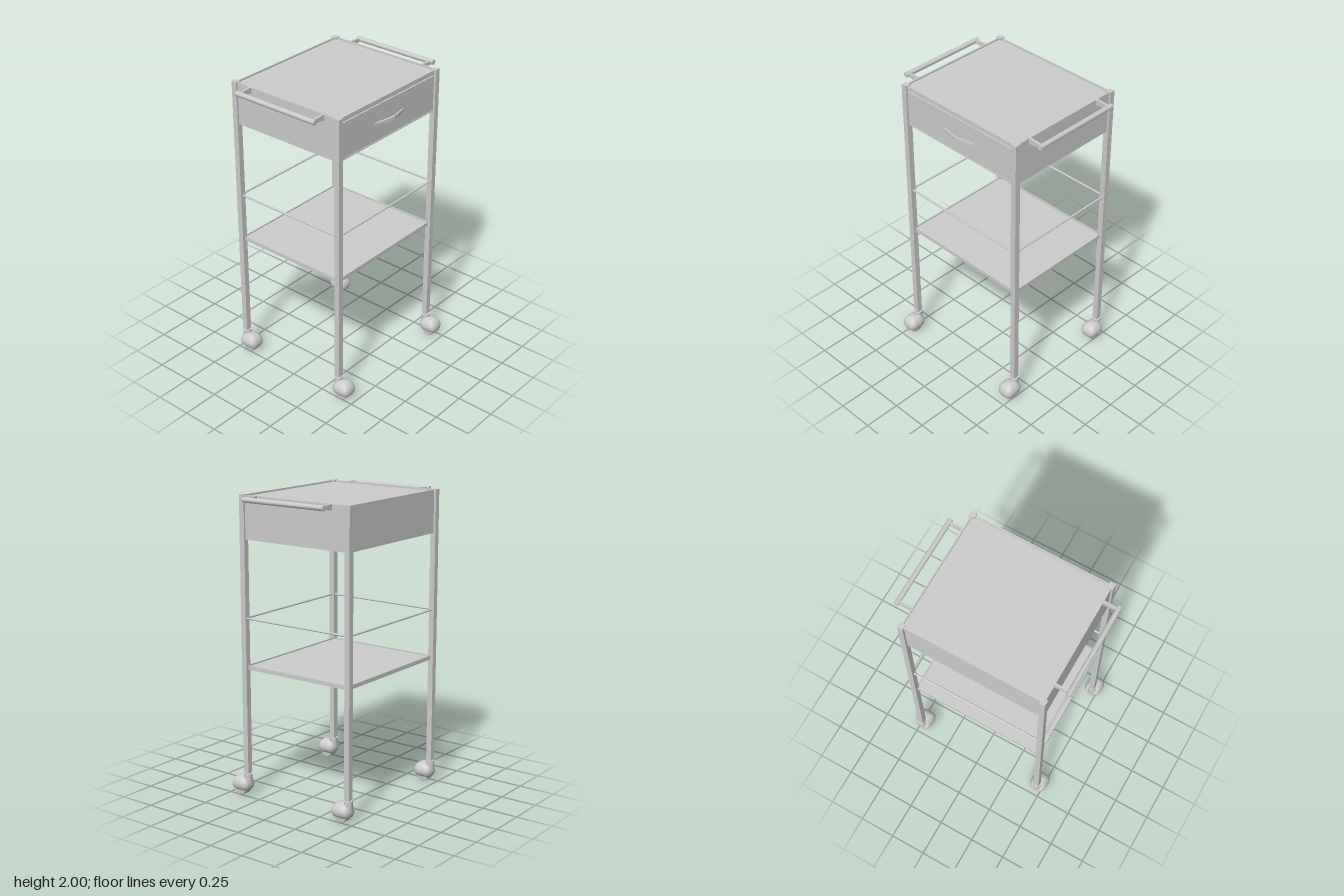
import * as THREE from 'three';

const mat = new THREE.MeshStandardMaterial({ color: 0xcccccc });
const matDouble = new THREE.MeshStandardMaterial({ color: 0xcccccc, side: THREE.DoubleSide });

const LEG_X = 0.47, LEG_FRONT = 0.37, LEG_BACK = -0.453;

function add(parent, name, geometry, material = mat) {
  const mesh = new THREE.Mesh(geometry, material);
  mesh.name = name;
  parent.add(mesh);
  return mesh;
}

// Box given by its limits on each axis
function box(parent, name, x0, x1, y0, y1, z0, z1) {
  const g = new THREE.BoxGeometry(x1 - x0, y1 - y0, z1 - z0);
  g.translate((x0 + x1) / 2, (y0 + y1) / 2, (z0 + z1) / 2);
  return add(parent, name, g);
}

// Upright cylinder between two heights
function post(parent, name, r, y0, y1, z = 0) {
  const g = new THREE.CylinderGeometry(r, r, y1 - y0, 20);
  return add(parent, name, g.translate(0, (y0 + y1) / 2, z));
}

// Round bar between two points
function bar(parent, name, a, b, r) {
  const path = new THREE.LineCurve3(new THREE.Vector3(...a), new THREE.Vector3(...b));
  return add(parent, name, new THREE.TubeGeometry(path, 1, r, 12));
}

// Caster hood: rounded-rectangle sections stacked upwards
function hoodGeometry() {
  const sections = [ // height, half width, half depth
    [0.035, 0.036, 0.052], [0.042, 0.046, 0.06], [0.055, 0.056, 0.065], [0.072, 0.06, 0.067],
    [0.09, 0.058, 0.065], [0.108, 0.05, 0.056], [0.122, 0.038, 0.043], [0.131, 0.024, 0.026], [0.133, 0.001, 0.001]];
  const n = 32, pos = [], index = [];
  const soft = (v) => Math.sign(v) * Math.pow(Math.abs(v), 0.62);
  sections.forEach(([y, w, d], j) => {
    for (let i = 0; i < n; i++) {
      const a = (i / n) * Math.PI * 2;
      pos.push(w * soft(Math.cos(a)), y, d * soft(Math.sin(a)));
      if (j === 0) continue;
      const k = (i + 1) % n, lo = (j - 1) * n, hi = j * n;
      index.push(lo + i, hi + i, lo + k, lo + k, hi + i, hi + k);
    }
  });
  const g = new THREE.BufferGeometry();
  g.setAttribute('position', new THREE.Float32BufferAttribute(pos, 3));
  g.setIndex(index);
  g.computeVertexNormals();
  return g;
}

function makeCaster(hood) {
  const caster = new THREE.Group();
  caster.name = 'caster';
  post(caster, 'pin', 0.017, 0.14, 0.17);
  post(caster, 'swivelNeck', 0.028, 0.08, 0.148);
  add(caster, 'hood', hood, matDouble).position.z = 0.042;
  // Wheel with bevelled rims, axle along x
  const profile = [[0, -0.034], [0.04, -0.034], [0.045, -0.028], [0.045, 0.028], [0.04, 0.034], [0, 0.034]]
    .map(([r, y]) => new THREE.Vector2(r, y));
  const wheel = new THREE.LatheGeometry(profile, 28).rotateZ(Math.PI / 2);
  add(caster, 'wheel', wheel).position.set(0, 0.045, 0.042);
  return caster;
}

// Bowed drawer pull, tapering in height towards its ends
function pullGeometry() {
  const top = [[-0.15, 0], [-0.03, 0.036], [0, 0.04], [0.03, 0.036], [0.15, 0]];
  const outer = top.map(([x, z]) => new THREE.Vector2(x, z));
  const inner = top.map(([x, z]) => new THREE.Vector2(x, z - 0.011)).reverse();
  const g = new THREE.ExtrudeGeometry(new THREE.Shape([...outer, ...inner]), { depth: 0.03, bevelEnabled: false });
  g.translate(0, 0, -0.015).rotateX(Math.PI / 2);
  const p = g.attributes.position;
  for (let i = 0; i < p.count; i++) p.setY(i, p.getY(i) * (1 - 0.75 * Math.abs(p.getX(i)) / 0.15));
  g.computeVertexNormals();
  return g;
}

function makeSideHandle() {
  const handle = new THREE.Group();
  handle.name = 'sideHandle';
  bar(handle, 'grip', [0.572, 1.983, -0.346], [0.572, 1.983, 0.281], 0.017);
  for (const z of [-0.346, 0.281]) {
    const cap = add(handle, 'gripEnd', new THREE.CircleGeometry(0.017, 12), matDouble);
    cap.position.set(0.572, 1.983, z);
  }
  // Tapered brackets
  const shape = new THREE.Shape([[0.474, 1.958], [0.565, 1.972], [0.565, 1.992], [0.474, 1.998]]
    .map(([x, y]) => new THREE.Vector2(x, y)));
  for (const z of [-0.333, 0.252]) {
    add(handle, 'bracket', new THREE.ExtrudeGeometry(shape, { depth: 0.016, bevelEnabled: false })).position.z = z;
  }
  return handle;
}

// Thin walls around a rectangle
function rim(parent, name, w, z0, z1, y0, y1, t) {
  for (const s of [-1, 1]) {
    const x = s * (w - t / 2);
    box(parent, name, x - t / 2, x + t / 2, y0, y1, z0, z1);
  }
  box(parent, name, -w + t, w - t, y0, y1, z0, z0 + t);
  box(parent, name, -w + t, w - t, y0, y1, z1 - t, z1);
}

export function createModel() {
  const cart = new THREE.Group();
  cart.name = 'trolley';

  // Legs and casters
  const hood = hoodGeometry();
  for (const x of [-LEG_X, LEG_X]) for (const z of [LEG_BACK, LEG_FRONT]) {
    box(cart, 'leg', x - 0.019, x + 0.019, 0.158, 2, z - 0.019, z + 0.019);
    const caster = makeCaster(hood);
    caster.position.set(x, 0, z);
    cart.add(caster);
  }

  // Drawer cabinet with a shallow rim round the top
  const cabinet = new THREE.Group();
  cabinet.name = 'cabinet';
  cart.add(cabinet);
  box(cabinet, 'carcass', -0.468, 0.468, 1.718, 1.986, -0.45, 0.369);
  for (const s of [-1, 1]) {
    box(cabinet, 'sidePanel', s * 0.472 - 0.005, s * 0.472 + 0.005, 1.715, 1.997, -0.457, 0.377);
  }
  box(cabinet, 'backPanel', -0.467, 0.467, 1.715, 1.997, -0.457, -0.447);
  box(cabinet, 'topRail', -0.467, 0.467, 1.968, 1.997, 0.367, 0.377);
  box(cabinet, 'bottomRail', -0.467, 0.467, 1.715, 1.723, 0.36, 0.377);
  box(cabinet, 'drawerFront', -0.446, 0.446, 1.728, 1.962, 0.365, 0.379);
  add(cabinet, 'drawerPull', pullGeometry()).position.set(0, 1.845, 0.379);

  // Side handles
  const left = makeSideHandle();
  const right = makeSideHandle();
  right.rotation.y = Math.PI;
  right.position.z = -0.065;
  cart.add(left, right);

  // Lower shelf tray
  const shelf = new THREE.Group();
  shelf.name = 'shelf';
  cart.add(shelf);
  box(shelf, 'shelfFloor', -0.466, 0.466, 0.864, 0.881, -0.449, 0.366);
  rim(shelf, 'shelfRim', 0.468, -0.451, 0.368, 0.863, 0.89, 0.008);

  // Guard rails
  const y = 1.203, r = 0.007;
  for (const z of [LEG_BACK, LEG_FRONT]) bar(cart, 'guardRail', [-LEG_X, y, z], [LEG_X, y, z], r);
  for (const x of [-LEG_X, LEG_X]) bar(cart, 'guardRail', [x, y, LEG_BACK], [x, y, LEG_FRONT], r);

  return cart;
}
